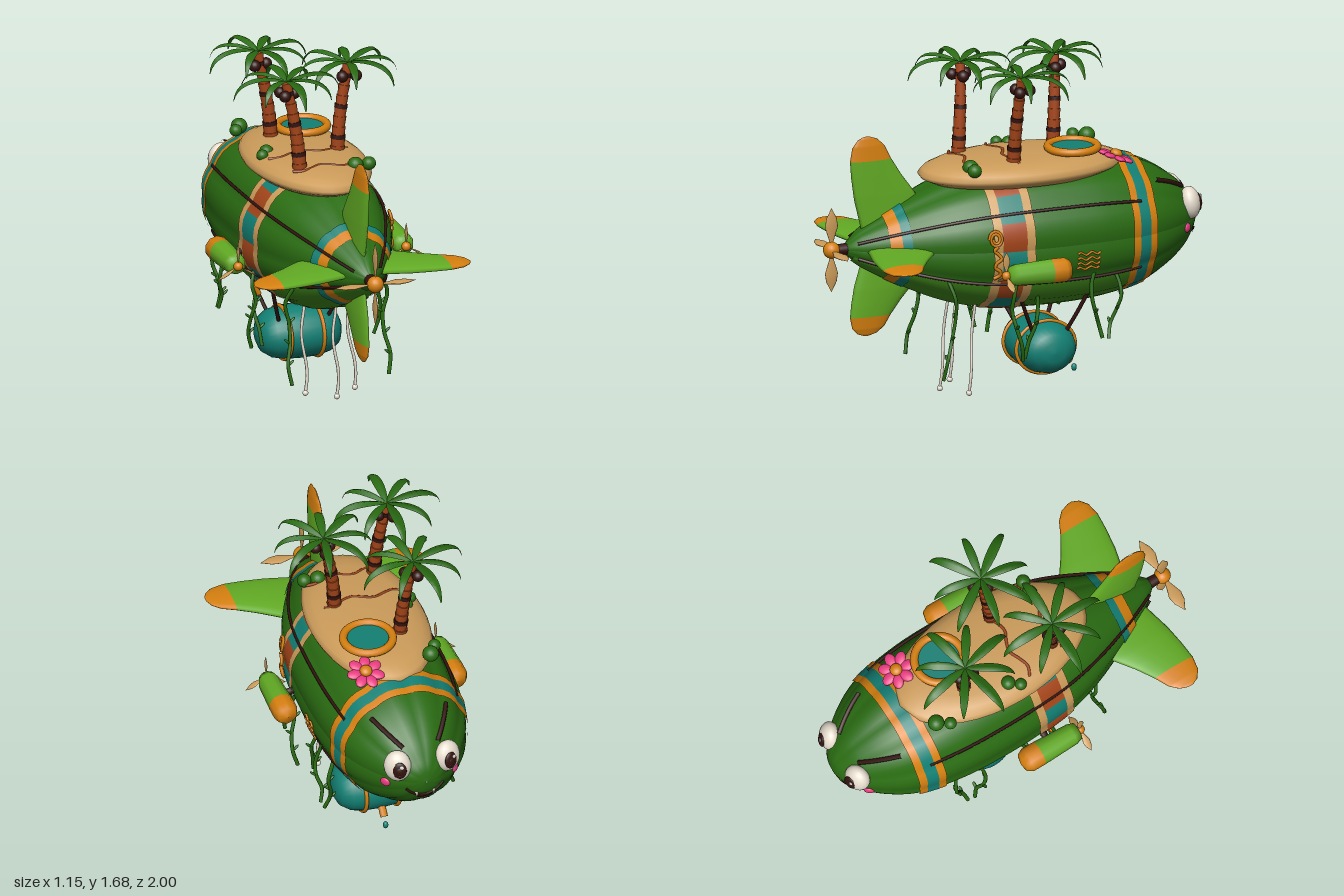
import * as THREE from 'three';
import { ParametricGeometry } from 'three/addons/geometries/ParametricGeometry.js';

const V = (x, y, z) => new THREE.Vector3(x, y, z);
const PI = Math.PI, CY = 0.795;

const mat = {};
for (const [name, color] of Object.entries({
  hullGreen: 0x2a6c12, bellyGreen: 0x418a1c, lime: 0x62ab24, orange: 0xd6800f, teal: 0x138074,
  sand: 0xcc9c5a, rust: 0xa6461a, darkBrown: 0x32130f, pink: 0xe83a80, cream: 0xf2e8d8,
})) {
  mat[name] = new THREE.MeshStandardMaterial({ color });
  mat[name].name = name;
}
const leafMat = mat.hullGreen.clone();
leafMat.side = THREE.DoubleSide;

// Hull radius along z, and a point on its twelve-gore surface
const profile = new THREE.CatmullRomCurve3([[-1, 0.004], [-0.985, 0.07], [-0.95, 0.125], [-0.9, 0.185],
  [-0.8, 0.262], [-0.7, 0.315], [-0.6, 0.345], [-0.4, 0.375], [-0.2, 0.383], [0, 0.378], [0.2, 0.357],
  [0.4, 0.302], [0.6, 0.212], [0.75, 0.13], [0.85, 0.065], [0.88, 0.03]].map(([z, r]) => V(r, 0, z))).getPoints(150);
function radius(z) {
  let i = 1;
  while (i < profile.length - 1 && profile[i].z < z) i++;
  const a = profile[i - 1], b = profile[i];
  return THREE.MathUtils.lerp(a.x, b.x, THREE.MathUtils.clamp((z - a.z) / (b.z - a.z), 0, 1));
}
function onHull(z, angle, off = 0, target = V()) {
  const r = radius(z) * (0.97 + 0.03 * Math.abs(Math.sin(6 * angle))) + off;
  return target.set(r * Math.cos(angle), CY + r * Math.sin(angle), z);
}
// Point on the rounded nose for a given x and y
function onNose(x, y, off = 0.004) {
  const r = Math.hypot(x, y - CY) / 0.985;
  const p = profile.find(q => q.x >= r) || profile[0];
  return V(x, y, p.z - off);
}

export function createModel() {
  const root = new THREE.Group();
  root.name = 'islandAirship';
  const add = (name, geo, m, pos = [0, 0, 0], parent = root) => {
    const mesh = new THREE.Mesh(geo, m);
    mesh.name = name;
    mesh.position.set(...pos);
    parent.add(mesh);
    return mesh;
  };
  const group = (name, pos = [0, 0, 0], parent = root) => {
    const g = new THREE.Group();
    g.name = name;
    g.position.set(...pos);
    parent.add(g);
    return g;
  };
  const tube = (name, pts, r, m, parent = root) =>
    add(name, new THREE.TubeGeometry(new THREE.CatmullRomCurve3(pts), pts.length * 5, r, 6), m, [0, 0, 0], parent);
  const ball = (name, r, m, pos, scale = [1, 1, 1], parent = root) => {
    const b = add(name, new THREE.SphereGeometry(r, 18, 12), m, pos, parent);
    b.scale.set(...scale);
    return b;
  };
  const lathe = (pts, n) => new THREE.LatheGeometry(pts.map(p => new THREE.Vector2(...p)), n);
  const patch = (name, z0, z1, m, off = 0.008, a0 = 0, a1 = 2 * PI, nu = 48, nv = 6) =>
    add(name, new ParametricGeometry((u, v, t) => onHull(z0 + (z1 - z0) * v, a0 + (a1 - a0) * u, off, t), nu, nv), m);

  // Hull with belly panel and painted bands
  add('hull', new ParametricGeometry((u, v, t) =>
    onHull(-1 + 1.88 * (1 - Math.cos(v * PI / 2)), u * 2 * PI, 0, t), 48, 48), mat.hullGreen);
  patch('bellyPanel', -0.55, 0.86, mat.bellyGreen, 0.004, -5 * PI / 6, -PI / 6, 16, 40);
  [[-0.68, -0.64, 'orange'], [-0.64, -0.58, 'teal'], [-0.58, -0.54, 'orange'], [0, 0.045, 'sand'],
    [0.17, 0.215, 'sand'], [0.6, 0.645, 'teal'], [0.645, 0.7, 'orange']].forEach(([a, b, m]) => patch(m + 'Band', a, b, mat[m]));
  for (let i = 0; i < 16; i++)
    patch('checkerBlock', 0.045, 0.17, i % 2 ? mat.teal : mat.rust, 0.008, i * PI / 8, (i + 1) * PI / 8, 3, 4);
  for (const a of [PI / 6, 5 * PI / 6, -PI / 6, -5 * PI / 6])
    tube('hullRope', Array.from({ length: 13 }, (_, i) => onHull(-0.6 + i * 0.12, a, 0.008)), 0.008, mat.darkBrown);

  // Tail fins: lens sections at [span, front z, rear z, half thickness]
  const stations = [[0.02, 0.4, 0.78, 0.03], [0.25, 0.5, 0.835, 0.03], [0.36, 0.58, 0.85, 0.026], [0.45, 0.635, 0.857, 0.022],
    [0.52, 0.67, 0.845, 0.016], [0.56, 0.71, 0.815, 0.008], [0.576, 0.755, 0.78, 0.002]];
  const finPart = (first, last) => new ParametricGeometry((u, v, t) => {
    const f = first + v * (last - first), i = Math.min(Math.floor(f), stations.length - 2);
    const [s, z0, z1, w] = stations[i].map((q, k) => THREE.MathUtils.lerp(q, stations[i + 1][k], f - i));
    t.set(w * Math.sin(u * 2 * PI), s, (z0 + z1) / 2 + (z1 - z0) / 2 * Math.cos(u * 2 * PI));
  }, 16, (last - first) * 3);
  for (let i = 0; i < 4; i++) {
    const fin = group('tailFin', [0, CY, 0]);
    fin.rotation.z = i * PI / 2;
    if (i === 2) fin.scale.y = 0.81;
    add('finBlade', finPart(0, 3), mat.lime, [0, 0, 0], fin);
    add('finTip', finPart(3, 6), mat.orange, [0, 0, 0], fin);
  }

  // Propellers
  function propeller(name, pos, length, hub, blades, parent = root) {
    const g = group(name, pos, parent);
    ball('propellerHub', hub, mat.orange, [0, 0, 0], [1, 1, 1], g);
    for (let i = 0; i < blades; i++) {
      const b = add('propellerBlade', lathe([[0.02, 0.1], [0.08, 0.3], [0.16, 0.55], [0.13, 0.75], [0, 1]], 12), mat.sand, [0, 0, 0], g);
      b.scale.set(length * 0.25, length, length);
      b.rotation.z = i * 2 * PI / blades;
    }
  }
  add('propellerShaft', new THREE.CylinderGeometry(0.027, 0.032, 0.08, 12), mat.darkBrown, [0, CY, 0.905]).rotation.x = PI / 2;
  propeller('tailPropeller', [0, CY + 0.002, 0.957], 0.22, 0.043, 4);

  // Side engine pods
  for (const s of [-1, 1]) {
    const pod = group('enginePod', [s * 0.45, 0.7, 0]);
    add('podBody', lathe([[0, -0.18], [0.045, -0.175], [0.056, -0.14], [0.064, 0.05]], 10), mat.lime, [0, 0, 0], pod).rotation.x = -PI / 2;
    add('podNose', lathe([[0.064, 0.05], [0.064, 0.12], [0.048, 0.15], [0, 0.162]], 10), mat.orange, [0, 0, 0], pod).rotation.x = -PI / 2;
    propeller('podPropeller', [0, 0, 0.19], 0.125, 0.024, 3, pod);
    tube('podStrut', [V(s * 0.33, 0.73, 0.02), V(s * 0.38, 0.715, 0.02), V(s * 0.43, 0.7, 0.02)], 0.018, mat.darkBrown);
  }

  // Sand island with paths, pool, bushes and flower
  add('island', lathe([[0, 1.07], [0.2, 1.075], [0.26, 1.09], [0.29, 1.115], [0.298, 1.135], [0.285, 1.16],
    [0.25, 1.185], [0.2, 1.202], [0.1, 1.212], [0, 1.214]], 40), mat.sand, [0, 0, -0.06]).scale.z = 1.81;
  for (const [x0, x1, z] of [[-0.23, 0.2, 0.03], [-0.18, 0.22, 0.25]])
    tube('islandPath', Array.from({ length: 9 }, (_, i) => {
      const x = x0 + (x1 - x0) * i / 8, zz = z + 0.02 * Math.sin(i * 1.5);
      const q = Math.hypot(x, (zz + 0.06) / 1.81);
      return V(x, 1.212 - 0.35 * q * q, zz);
    }), 0.008, mat.rust);
  const rim = add('poolRim', new THREE.TorusGeometry(0.125, 0.021, 12, 36), mat.orange, [0.08, 1.226, -0.315]);
  rim.rotation.x = PI / 2;
  add('poolWater', new THREE.CylinderGeometry(0.115, 0.115, 0.02, 32), mat.teal, [0.08, 1.218, -0.315]);
  for (const [x, z, r] of [[-0.19, -0.5, 0.042], [-0.23, -0.44, 0.032], [-0.2, -0.08, 0.036], [-0.24, -0.03, 0.03],
    [0.15, 0.265, 0.04], [0.22, 0.27, 0.036]]) ball('bush', r, mat.hullGreen, [x, 1.195, z], [1, 0.95, 1]);
  const flower = group('flower', [0.16, 1.175, -0.515]);
  flower.rotation.x = -0.35;
  ball('flowerCentre', 0.032, mat.orange, [0, 0.015, 0], [1, 0.7, 1], flower);
  for (let i = 0; i < 7; i++) {
    const a = i * 2 * PI / 7;
    ball('petal', 0.036, mat.pink, [0.058 * Math.cos(a), 0, 0.058 * Math.sin(a)], [1.1, 0.35, 0.8], flower).rotation.y = -a;
  }

  // Palm trees
  const frond = new ParametricGeometry((u, v, t) => {
    const w = 0.003 + 0.023 * Math.sin(PI * Math.pow(v, 0.7)), k = 2 * u - 1;
    t.set(0.28 * Math.sin(v * 1.45) , 0.19 * v - 0.26 * v * v - Math.abs(k) * w * 0.5, k * w);
  }, 2, 10);
  [[-0.1, -0.28, -0.16, -0.31, 0.2], [0.14, 0.03, 0.205, 0.01, 0.6], [-0.13, 0.22, -0.19, 0.185, 0]].forEach(([bx, bz, tx, tz, turn]) => {
    const palm = group('palmTree');
    const curve = new THREE.CatmullRomCurve3([V(bx, 1.17, bz), V(bx + (tx - bx) * 0.15, 1.32, bz + (tz - bz) * 0.3),
      V(bx + (tx - bx) * 0.5, 1.48, bz + (tz - bz) * 0.7), V(tx, 1.64, tz)]);
    const up = V(0, 1, 0);
    for (let i = 0; i < 9; i++) {
      const a = curve.getPoint(i / 9), b = curve.getPoint((i + 1) / 9), r = 0.038 - i * 0.0014;
      const place = m => m.quaternion.setFromUnitVectors(up, b.clone().sub(a).normalize());
      place(add('trunkSegment', new THREE.CylinderGeometry(r, r - 0.004, a.distanceTo(b) + 0.004, 10), mat.rust,
        a.clone().lerp(b, 0.5).toArray(), palm));
      if (i % 3 === 2) place(add('trunkRing', new THREE.CylinderGeometry(r + 0.002, r + 0.002, 0.022, 10), mat.darkBrown, a.toArray(), palm));
    }
    for (let i = 0; i < 3; i++) {
      const a = turn + i * 2.1;
      ball('coconut', 0.03, mat.darkBrown, [tx + 0.042 * Math.cos(a), 1.583, tz + 0.042 * Math.sin(a)], [1, 1, 1], palm);
    }
    for (let i = 0; i < 8; i++) {
      const f = add('frond', frond, leafMat, [tx, 1.65, tz], palm);
      f.rotation.y = turn + i * PI / 4;
      f.scale.setScalar(i % 2 ? 0.9 : 1.02);
    }
  });

  // Face
  for (const s of [-1, 1]) {
    const eye = group('eye', [s * 0.132, 0.88, -0.93]);
    eye.rotation.set(0.15, PI - s * 0.35, 0);
    ball('eyeWhite', 0.07, mat.cream, [0, 0, 0], [1, 1.2, 0.75], eye);
    ball('pupil', 0.04, mat.darkBrown, [s * 0.012, -0.005, 0.044], [0.9, 1.15, 0.35], eye);
    ball('iris', 0.03, mat.rust, [s * 0.012, -0.012, 0.048], [0.8, 0.9, 0.35], eye);
    ball('innerPupil', 0.022, mat.darkBrown, [s * 0.012, -0.008, 0.052], [0.9, 1.1, 0.4], eye);
    ball('glint', 0.011, mat.cream, [s * 0.012 + 0.012, 0.018, 0.058], [1, 1, 0.4], eye);
    const cheek = ball('cheek', 0.027, mat.pink, [s * 0.185, 0.765, -0.895], [1, 0.9, 0.45]);
    cheek.rotation.y = PI - s * 0.85;
    tube('brow', [[0.09, -0.9], [0.125, -0.85], [0.165, -0.78], [0.195, -0.715]].map(([x, z]) =>
      onHull(z, Math.acos(s * x / radius(z)), 0.008)), 0.012, mat.darkBrown);
    const fang = add('fang', new THREE.ConeGeometry(0.012, 0.032, 8), mat.cream, onNose(s * 0.045, 0.708, 0.008).toArray());
    fang.rotation.x = PI + 0.3;
  }
  tube('smile', [-0.1, -0.06, 0, 0.06, 0.1].map(x => onNose(x, 0.7 + 5 * x * x)), 0.008, mat.darkBrown);
  ball('mouth', 0.04, mat.darkBrown, onNose(0, 0.692, 0).toArray(), [1.1, 0.6, 0.3]).rotation.x = -0.5;
  ball('tongue', 0.025, mat.rust, onNose(0, 0.682, 0.008).toArray(), [1.1, 0.5, 0.3]).rotation.x = -0.5;

  // Barrel gondola on struts
  const gondola = group('gondola', [0, 0.195, -0.167]);
  const barrel = add('barrel', lathe([[0, -0.22], [0.05, -0.215], [0.09, -0.195], [0.12, -0.15], [0.134, -0.09], [0.138, 0],
    [0.134, 0.09], [0.12, 0.15], [0.09, 0.195], [0.05, 0.215], [0, 0.22]], 28), mat.teal, [0, 0, 0], gondola);
  barrel.rotation.z = PI / 2;
  barrel.scale.z = 1.16;
  for (const s of [-1, 1]) {
    const hoop = add('barrelHoop', new THREE.TorusGeometry(0.136, 0.01, 8, 36), mat.orange, [s * 0.088, 0, 0], gondola);
    hoop.rotation.y = PI / 2;
    hoop.scale.x = 1.16;
    for (const [z0, z1] of [[-0.085, 0.01], [-0.26, -0.35]])
      tube('strut', [V(s * 0.13, 0.28, z0), V(s * 0.165, 0.38, (z0 + z1) / 2), V(s * 0.2, 0.49, z1)], 0.01, mat.darkBrown);
  }
  tube('spout', [V(0, 0.13, -0.28), V(0, 0.11, -0.305), V(0, 0.08, -0.335)], 0.02, mat.orange);
  ball('waterDrop', 0.014, mat.teal, [0, 0.045, -0.355], [1, 1.4, 1]);

  // Side ornaments
  for (let k = 0; k < 4; k++)
    tube('waveMark', Array.from({ length: 9 }, (_, i) =>
      onHull(-0.225 - i * 0.0155, -0.12 - k * 0.07 + 0.02 * Math.sin(i * 1.6), 0.006)), 0.006, mat.orange);
  tube('coilMark', Array.from({ length: 17 }, (_, i) =>
    onHull(0.21 + 0.035 * Math.cos(i * 0.8) * (1 - i / 26), 0.2 + 0.12 * Math.sin(i * 0.8) * (1 - i / 26), 0.014)), 0.008, mat.orange);
  tube('coilTail', Array.from({ length: 9 }, (_, i) =>
    onHull(0.2 + 0.018 * Math.sin(i * 1.7), 0.1 - i * 0.06, 0.016)), 0.009, mat.orange);
  tube('sideTap', [onHull(0.1, PI + 0.65, 0), onHull(0.1, PI + 0.65, 0.04), onHull(0.1, PI + 0.75, 0.05)], 0.016, mat.orange);
  ball('tapDrop', 0.013, mat.teal, [-0.32, 0.49, 0.1], [1, 1.4, 1]);

  // Hanging vines with small leaves
  for (const s of [-1, 1]) {
    [[0.26, 0.42, 0.13], [0.34, 0.08, 0.21], [0.27, -0.02, 0.2], [0.35, -0.34, 0.29], [0.33, -0.44, 0.28]].forEach(([x, z, y0], n) => {
      const pts = Array.from({ length: 6 }, (_, i) => V(
        s * (x - (i ? 0 : 0.03) + 0.014 * Math.sin(i * 1.9 + n)), 0.65 + (y0 - 0.65) * i / 5, z - 0.05 * Math.sin(i * 0.9) * (n % 2 ? -0.6 : 0.7)));
      tube('vine', pts, 0.01, mat.hullGreen);
      for (const i of [2, 3, 4]) {
        const leaf = ball('vineLeaf', 0.022, mat.hullGreen, pts[i].clone().add(V(s * (i % 2 ? 0.015 : -0.015), 0.01, 0)).toArray(), [1, 0.3, 0.4]);
        leaf.rotation.z = s * (i % 2 ? 0.7 : -0.7);
      }
    });
  }

  // Trailing mooring lines
  for (const [x, z] of [[-0.12, 0.27], [0.01, 0.375], [0.145, 0.27]]) {
    tube('mooringLine', Array.from({ length: 8 }, (_, i) =>
      V(x + 0.012 * Math.sin(i * 1.1) - (x > 0.1 ? 0.004 * i : 0), 0.02 + i * 0.07, z - i * 0.006)), 0.008, mat.cream);
    ball('lineWeight', 0.015, mat.cream, [x, 0.0155, z]);
  }
  return root;
}
